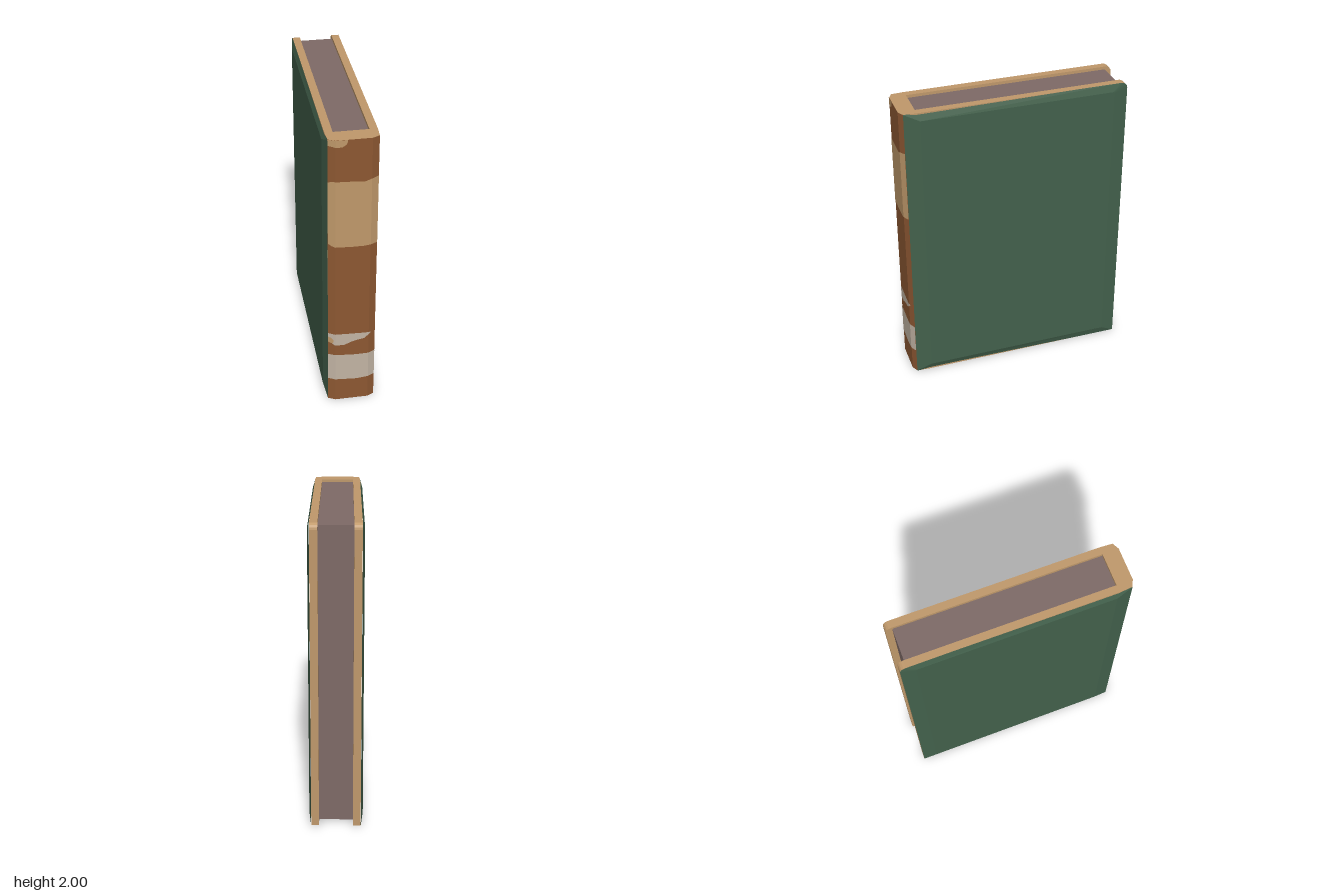
import * as THREE from 'three';

const material = (name, color, side = THREE.FrontSide) => {
  const m = new THREE.MeshStandardMaterial({ color, side });
  m.name = name;
  return m;
};

// Closed or open surface from quads between two matching point rows
function ribbon(rowA, rowB) {
  const pos = [];
  for (let i = 0; i < rowA.length - 1; i++) {
    const [a, b, c, d] = [rowA[i], rowA[i + 1], rowB[i + 1], rowB[i]];
    pos.push(...a, ...b, ...c, ...a, ...c, ...d);
  }
  const g = new THREE.BufferGeometry();
  g.setAttribute('position', new THREE.Float32BufferAttribute(pos, 3));
  g.computeVertexNormals();
  return g;
}

// Depth of the spine face across its width: flat middle, bevelled edges
const spineZ = (x) => 0.752 - Math.max(0, Math.abs(x) - 0.11) * 0.5;

// Painted area wrapped on the spine; each sample is [x, bottom y, top y]
function spinePatch(samples, lift) {
  const row = (k) => samples.map((s) => [s[0], s[k], spineZ(s[0]) + lift]);
  return ribbon(row(1), row(2));
}

export function createModel() {
  const book = new THREE.Group();
  book.name = 'book';
  const green = material('green cloth', 0x43614c);
  const tan = material('tan leather', 0xc0996b);
  const brown = material('brown leather', 0x8d5832);
  const cream = material('cream label', 0xc2b4a4);
  const paper = material('paper', 0x7e6a67);

  const add = (name, geometry, mat) => {
    const mesh = new THREE.Mesh(geometry, mat);
    mesh.name = name;
    book.add(mesh);
    return mesh;
  };

  // Page block, recessed between the boards
  const pages = new THREE.BoxGeometry(0.22, 1.96, 1.355);
  pages.translate(0, 1, -0.0325);
  add('pages', pages, paper);

  // Board outline as [z, y], with the top rear corner rounded
  const outline = (front, back, low, high, r) => {
    const pts = [[front, low], [back, low]];
    for (let i = 0; i <= 4; i++) {
      const a = (i / 4) * Math.PI / 2;
      pts.push([back + r - r * Math.cos(a), high - r + r * Math.sin(a)]);
    }
    pts.push([front, high]);
    return pts;
  };

  // Boards
  const boardShape = new THREE.Shape(
    outline(0.645, -0.755, 0, 2, 0.04).map(([z, y]) => new THREE.Vector2(-z, y)));
  for (const s of [1, -1]) {
    const side = s > 0 ? 'left' : 'right';
    const board = new THREE.ExtrudeGeometry(boardShape, { depth: 0.05, bevelEnabled: false });
    board.rotateY(Math.PI / 2).translate(s > 0 ? 0.11 : -0.16, 0, 0);
    add(side + 'Board', board, tan);

    // Cloth cover: raised flat panel with a sloping rim
    const rim = outline(0.731, -0.755, 0, 2, 0.04)
      .map(([z, y]) => [s * (z > 0.7 ? 0.156 : 0.161), y, z]);
    const top = outline(0.63, -0.66, 0.05, 1.95, 0.01).map(([z, y]) => [s * 0.175, y, z]);
    const centre = top.map(() => [s * 0.175, 1, 0]);
    for (const loop of [rim, top, centre]) loop.push(loop[0]);
    const wrap = (a, b) => (s > 0 ? ribbon(a, b) : ribbon(b, a));
    add(side + 'ClothRim', wrap(rim, top), green);
    add(side + 'ClothPanel', wrap(top, centre), green);
  }

  // Spine block joining the boards
  const spineShape = new THREE.Shape([
    [-0.16, 0.645], [-0.155, 0.7295], [-0.11, 0.752],
    [0.11, 0.752], [0.155, 0.7295], [0.16, 0.645],
  ].map(([x, z]) => new THREE.Vector2(x, -z)));
  const spine = new THREE.ExtrudeGeometry(spineShape, { depth: 2, bevelEnabled: false });
  spine.rotateX(-Math.PI / 2);
  add('spine', spine, tan);

  // Leather covering of the spine
  const leather = [-0.155, -0.11, 0.11, 0.155].map((x) => [x, 0, 2]);
  add('spineLeather', spinePatch(leather, 0.001), brown);

  // Labels and worn patches on the spine
  add('upperLabel', spinePatch([
    [-0.155, 1.27, 1.71], [-0.13, 1.255, 1.72], [-0.11, 1.25, 1.72], [0, 1.245, 1.715],
    [0.07, 1.245, 1.71], [0.11, 1.25, 1.725], [0.155, 1.25, 1.73],
  ], 0.003), tan);
  add('lowerLabel', spinePatch([
    [-0.155, 0.18, 0.39], [-0.11, 0.18, 0.39], [-0.04, 0.175, 0.385],
    [0.03, 0.17, 0.38], [0.11, 0.178, 0.382], [0.155, 0.18, 0.382],
  ], 0.003), cream);
  add('tornLabel', spinePatch([
    [-0.155, 0.50, 0.565], [-0.11, 0.47, 0.562], [-0.05, 0.47, 0.56], [-0.01, 0.488, 0.558],
    [0.03, 0.5, 0.557], [0.08, 0.51, 0.555], [0.11, 0.538, 0.556], [0.125, 0.55, 0.552],
  ], 0.002), cream);
  add('smallWornPatch', spinePatch([
    [-0.155, 0.495, 0.535], [-0.135, 0.485, 0.53], [-0.122, 0.495, 0.515],
  ], 0.003), tan);
  add('cornerWornPatch', spinePatch([
    [-0.155, 1.96, 2], [-0.11, 1.953, 2], [-0.07, 1.953, 2], [-0.045, 1.97, 2], [-0.038, 1.99, 2],
  ], 0.003), tan);

  return book;
}
